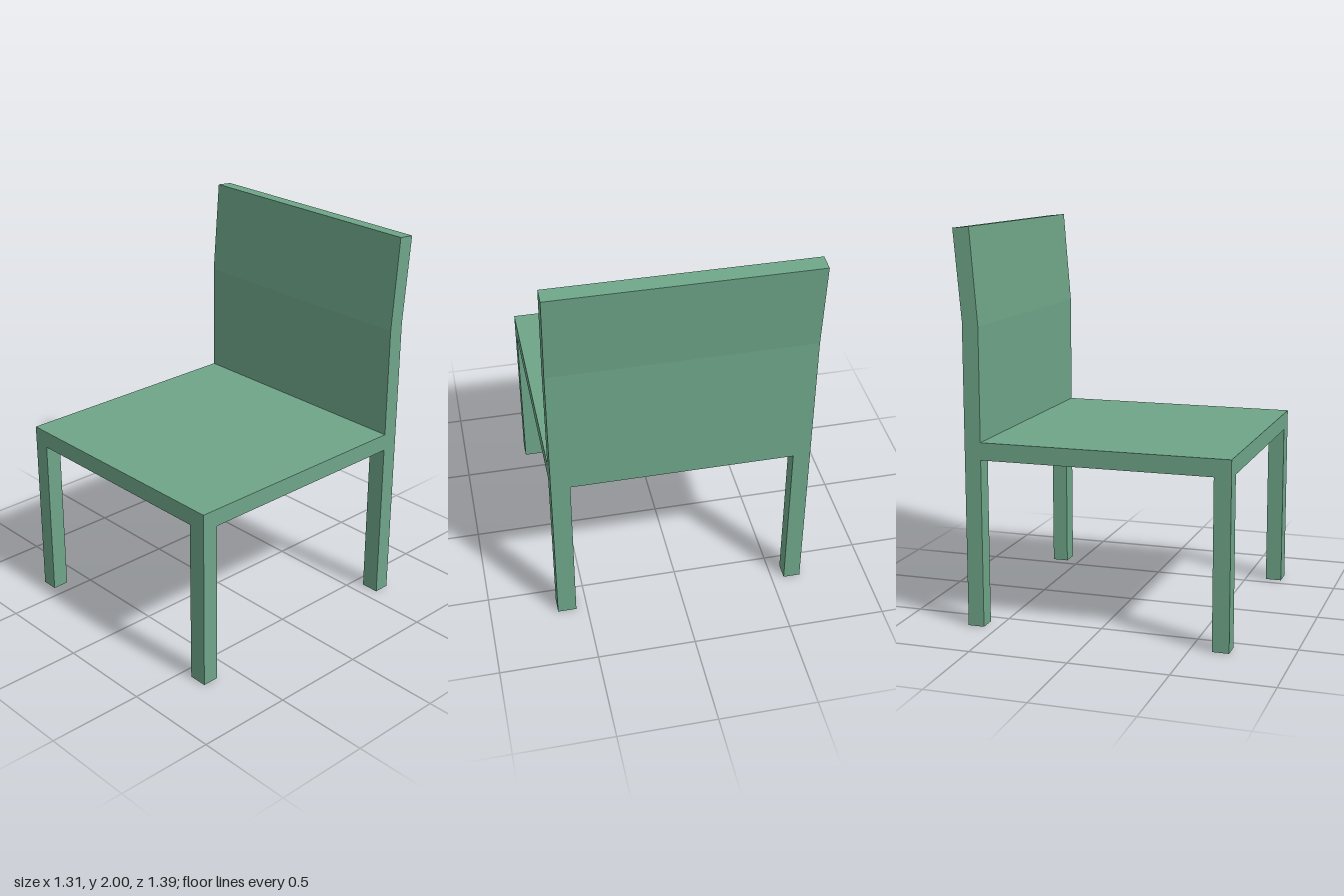
import * as THREE from 'three';

const HALF_W = 0.653;               // half the chair's width
const FRONT = 0.695;                // front edge of the seat
const BACK_IN = -0.572, BACK_OUT = -0.656; // faces of the upright back
const SEAT_LOW = 0.858, SEAT_TOP = 0.947;

export function createModel() {
  const chair = new THREE.Group();
  chair.name = 'chair';
  const material = new THREE.MeshStandardMaterial({ color: 0x6ea588, flatShading: true });

  // Box given by its limits on each axis
  function addBox(name, [x0, x1], [y0, y1], [z0, z1]) {
    const mesh = new THREE.Mesh(new THREE.BoxGeometry(x1 - x0, y1 - y0, z1 - z0), material);
    mesh.position.set((x0 + x1) / 2, (y0 + y1) / 2, (z0 + z1) / 2);
    mesh.name = name;
    chair.add(mesh);
  }

  // Seat slab
  addBox('seat', [-HALF_W, HALF_W], [SEAT_LOW, SEAT_TOP], [BACK_IN, FRONT]);

  // Legs, flush with the outer corners; the left pair is slightly wider
  const sides = { right: [-HALF_W, -0.566], left: [0.557, HALF_W] };
  for (const [side, xs] of Object.entries(sides)) {
    addBox(`${side}FrontLeg`, xs, [0, SEAT_LOW], [0.61, FRONT]);
    addBox(`${side}BackLeg`, xs, [0, SEAT_LOW], [BACK_OUT, BACK_IN]);
  }

  // Backrest: side profile as [z, y], its upper part leaning back
  const profile = [
    [BACK_IN, SEAT_LOW], [BACK_OUT, SEAT_LOW], [BACK_OUT, 1.545],
    [-0.695, 1.992], [-0.61, 2], [BACK_IN, 1.52],
  ];
  const shape = new THREE.Shape(profile.map(([z, y]) => new THREE.Vector2(-z, y)));
  const geometry = new THREE.ExtrudeGeometry(shape, { depth: 2 * HALF_W, bevelEnabled: false });
  geometry.translate(0, 0, -HALF_W).rotateY(Math.PI / 2);
  const backrest = new THREE.Mesh(geometry, material);
  backrest.name = 'backrest';
  chair.add(backrest);

  return chair;
}
